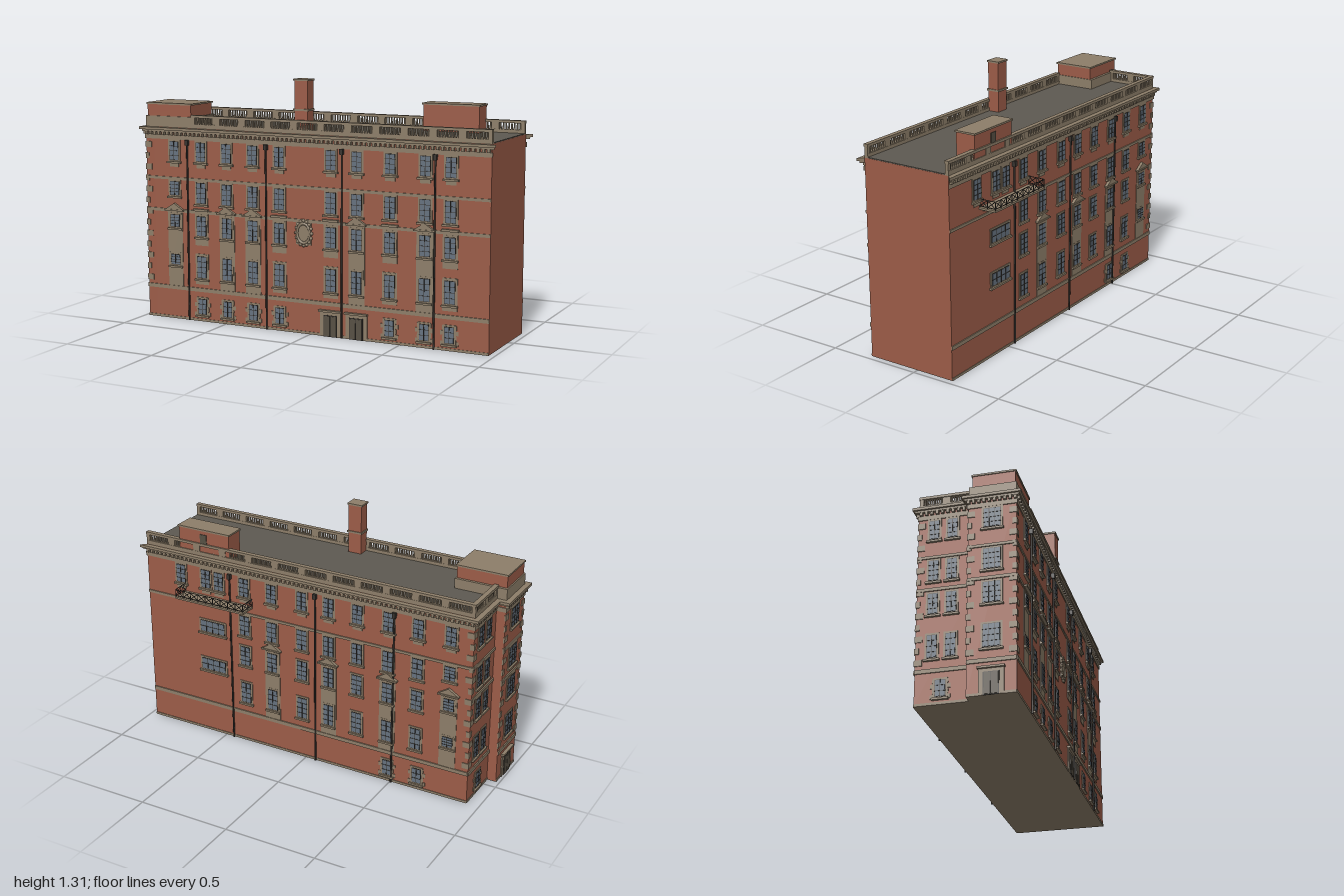
import * as THREE from 'three';

const mat = (name, color) => {
  const m = new THREE.MeshStandardMaterial({ color });
  m.name = name;
  return m;
};
const brick = mat('brick', 0x9c5c48), stone = mat('stone', 0x8d7e69), slate = mat('roof grey', 0x5d5951),
  glass = mat('window glass', 0x66727f), iron = mat('dark iron', 0x37332f), wood = mat('door brown', 0x575044);

const add = (parent, name, geo, m, x, y, z) => {
  const mesh = new THREE.Mesh(geo, m);
  mesh.name = name;
  mesh.position.set(x, y, z);
  parent.add(mesh);
  return mesh;
};
// Box given by its two extreme corners
const span = (p, name, m, x0, x1, y0, y1, z0, z1) =>
  add(p, name, new THREE.BoxGeometry(x1 - x0, y1 - y0, z1 - z0), m, (x0 + x1) / 2, (y0 + y1) / 2, (z0 + z1) / 2);
const group = (parent, name) => {
  const g = new THREE.Group();
  g.name = name;
  parent.add(g);
  return g;
};
// Wall frame: local x runs along the wall, local z points outwards
const wall = (parent, name, x, z, angle) => {
  const g = group(parent, name);
  g.position.set(x, 0, z);
  g.rotation.y = angle;
  return g;
};

// Sash window with stone frame, glass, bars and sill
function windowUnit(w, x, y0, y1, width, cols = 2, rows = 4) {
  const g = group(w, 'window'), h = width / 2, b = 0.009;
  span(g, 'frame', stone, x - h - b, x + h + b, y0 - b, y1 + b, 0, 0.004);
  span(g, 'sash', iron, x - h, x + h, y0, y1, 0, 0.0055);
  span(g, 'pane', glass, x - h + 0.003, x + h - 0.003, y0 + 0.003, y1 - 0.003, 0, 0.007);
  for (let i = 1; i < cols; i++) {
    const u = x - h + width * i / cols;
    span(g, 'bar', iron, u - 0.0015, u + 0.0015, y0, y1, 0.006, 0.009);
  }
  for (let i = 1; i < rows; i++) {
    const v = y0 + (y1 - y0) * i / rows;
    span(g, 'bar', iron, x - h, x + h, v - 0.001, v + 0.001, 0.006, 0.009);
  }
  span(g, 'sill', stone, x - h - 0.014, x + h + 0.014, y0 - 0.016, y0 - 0.006, 0, 0.013);
  return g;
}

function pediment(w, x, y, width) {
  const s = new THREE.Shape();
  s.moveTo(-width / 2, 0);
  s.lineTo(width / 2, 0);
  s.lineTo(0, 0.033);
  add(w, 'pediment', new THREE.ExtrudeGeometry(s, { depth: 0.016, bevelEnabled: false }), stone, x, y, 0);
  span(w, 'pedimentShelf', stone, x - width / 2 - 0.004, x + width / 2 + 0.004, y - 0.008, y, 0, 0.02);
}

// Four storeys above the ground floor; tall columns get one continuous stone surround
function column(w, x, tall, small) {
  const gw = 0.058;
  if (tall) {
    span(w, 'surround', stone, x - 0.045, x + 0.045, 0.18, 0.6, 0, 0.003);
    pediment(w, x, 0.595, 0.105);
  } else {
    span(w, 'hood', stone, x - 0.044, x + 0.044, 0.594, 0.606, 0, 0.014);
    span(w, 'upperPanel', stone, x - 0.04, x + 0.04, 0.41, 0.594, 0, 0.003);
    span(w, 'lowerPanel', stone, x - 0.04, x + 0.04, 0.2, 0.365, 0, 0.003);
  }
  windowUnit(w, x, small ? 0.295 : 0.235, 0.352, gw);
  windowUnit(w, x, small ? 0.5 : 0.46, 0.567, gw);
  windowUnit(w, x, small ? 0.67 : 0.635, 0.745, gw);
  topWindow(w, x);
}
function topWindow(w, x) {
  span(w, 'apron', stone, x - 0.027, x + 0.027, 0.822, 0.85, 0, 0.004);
  windowUnit(w, x, 0.857, 0.958, 0.056);
}
function groundWindow(w, x) {
  for (let i = 0; i < 4; i++) {
    const h = i % 2 ? 0.038 : 0.048;
    span(w, 'quoinBlock', stone, x - h, x + h, 0.028 + i * 0.026, 0.049 + i * 0.026, 0, 0.003);
  }
  windowUnit(w, x, 0.038, 0.122, 0.052, 2, 3);
}
function door(w, x) {
  span(w, 'doorSurround', stone, x - 0.06, x + 0.06, 0, 0.13, 0, 0.006);
  span(w, 'doorHood', stone, x - 0.064, x + 0.064, 0.128, 0.138, 0, 0.018);
  span(w, 'doorOutline', iron, x - 0.038, x + 0.038, 0, 0.112, 0, 0.008);
  for (const s of [-1, 1]) span(w, 'doorLeaf', wood, x + s * 0.018 - 0.016, x + s * 0.018 + 0.016, 0.003, 0.108, 0, 0.011);
}
function drainpipe(w, x) {
  add(w, 'drainpipe', new THREE.CylinderGeometry(0.005, 0.005, 0.965, 8), iron, x, 0.4825, 0.008);
  span(w, 'hopper', iron, x - 0.009, x + 0.009, 0.94, 0.968, 0, 0.018);
}
// Horizontal courses along a wall
function bands(w, x0, x1, middle) {
  span(w, 'plinth', stone, x0, x1, 0, 0.013, 0, 0.003);
  span(w, 'lowerBand', stone, x0, x1, 0.16, 0.18, 0, 0.006);
  if (middle) span(w, 'middleBand', stone, x0, x1, 0.58, 0.596, 0, 0.006);
  span(w, 'upperBand', stone, x0, x1, 0.753, 0.767, 0, 0.006);
}
// Small blocks beneath the cornice
function dentils(w, x0, x1) {
  const n = Math.round((x1 - x0) / 0.026);
  for (let i = 0; i < n; i++) {
    const u = x0 + (i + 0.5) * (x1 - x0) / n;
    span(w, 'dentil', stone, u - 0.007, u + 0.007, 0.99, 1.008, 0, 0.016);
  }
}
// Balustrade with piers, set back into the wall
function balustrade(w, x0, x1) {
  const g = group(w, 'balustrade'), n = Math.round((x1 - x0) / 0.155), p = (x1 - x0) / n;
  span(g, 'parapetBase', stone, x0, x1, 1.03, 1.053, -0.02, 0);
  span(g, 'handrail', stone, x0, x1, 1.086, 1.1, -0.022, 0.003);
  const baluster = new THREE.CylinderGeometry(0.0035, 0.0055, 0.034, 6);
  for (let i = 0; i <= n; i++) {
    const u = x0 + i * p;
    span(g, 'pier', stone, Math.max(x0, u - 0.02), Math.min(x1, u + 0.02), 1.05, 1.09, -0.019, -0.001);
    if (i < n) for (let k = 0; k < 8; k++) add(g, 'baluster', baluster, stone, u + 0.02 + (k + 0.5) * (p - 0.04) / 8, 1.069, -0.01);
  }
}
function quoins(w, x, side) {
  for (let i = 0; i < 13; i++) {
    const y = 0.2 + i * 0.06, len = i % 2 ? 0.022 : 0.038;
    span(w, 'quoin', stone, Math.min(x, x + side * len), Math.max(x, x + side * len), y, y + 0.03, -0.004, 0.004);
  }
}
// Stepped cornice slab following the plan, mitred past the plain end wall
function corniceSlab(p, d, y0, y1) {
  const s = new THREE.Shape([[0.968, -0.21], [0.968, 0.285], [0.97 + d, 0.285 + d], [-0.98 - d, 0.285 + d],
    [-0.98 - d, 0.05 - d], [-0.93 - d, 0.05 - d], [-0.93 - d, -0.21 - d], [0.97 + d, -0.21 - d]]
    .map(([x, z]) => new THREE.Vector2(x, z)));
  const geo = new THREE.ExtrudeGeometry(s, { depth: y1 - y0, bevelEnabled: false }).rotateX(Math.PI / 2);
  add(p, 'cornice', geo, stone, 0, y1, 0);
}

export function createModel() {
  const model = new THREE.Group();
  model.name = 'apartmentBuilding';

  // Main volumes and roof
  span(model, 'mainBody', brick, -0.93, 0.97, 0.002, 1.031, -0.21, 0.285);
  span(model, 'endBay', brick, -0.98, -0.9, 0.002, 1.029, 0.05, 0.2849);
  span(model, 'underside', stone, -0.93, 0.97, 0, 0.002, -0.21, 0.285);
  span(model, 'bayUnderside', stone, -0.98, -0.93, 0, 0.002, 0.05, 0.285);
  span(model, 'roof', slate, -0.92, 0.969, 1.025, 1.036, -0.2, 0.275);
  corniceSlab(model, 0.005, 0.967, 0.99);
  corniceSlab(model, 0.017, 1.006, 1.016);
  corniceSlab(model, 0.027, 1.016, 1.03);

  // Front wall
  const front = wall(model, 'frontWall', 0, 0.285, 0);
  bands(front, -0.98, 0.97, true);
  const tallFront = [-0.805, -0.487, -0.332, 0.262, 0.631];
  for (const x of [-0.805, -0.642, -0.487, -0.332, -0.176, 0.118, 0.262, 0.444, 0.631, 0.765])
    column(front, x, tallFront.includes(x), x === -0.805);
  for (const x of [-0.642, -0.487, -0.332, -0.176, 0.444, 0.631, 0.765]) groundWindow(front, x);
  for (const x of [0.118, 0.262]) door(front, x);
  for (const x of [-0.722, -0.251, 0.182, 0.684]) drainpipe(front, x);
  quoins(front, -0.984, 1);
  dentils(front, -0.985, 0.97);
  balustrade(front, -0.7, 0.97);

  // Carved oval panel
  const cart = group(front, 'carvedPanel');
  cart.position.set(-0.035, 0.525, 0);
  span(cart, 'backPlate', stone, -0.042, 0.042, -0.06, 0.06, 0, 0.006);
  const oval = add(cart, 'ovalRing', new THREE.TorusGeometry(0.036, 0.006, 6, 24), stone, 0, 0, 0.007);
  oval.scale.y = 1.4;
  for (let i = 0; i < 16; i++) {
    const a = i * Math.PI / 8;
    add(cart, 'leaf', new THREE.SphereGeometry(0.009, 8, 6), stone, 0.045 * Math.cos(a), 0.064 * Math.sin(a), 0.004);
  }

  // Back wall (local x is reversed)
  const back = wall(model, 'backWall', 0, -0.21, Math.PI);
  bands(back, -0.97, 0.93, false);
  const tallBack = [0.2, -0.136, -0.474, -0.813];
  for (const x of tallBack) column(back, -x, true, x === -0.813);
  for (const x of [0.365, 0.02, -0.3, -0.637]) {
    windowUnit(back, -x, 0.235, 0.352, 0.058);
    windowUnit(back, -x, 0.46, 0.567, 0.058);
    windowUnit(back, -x, 0.635, 0.745, 0.058);
    topWindow(back, -x);
  }
  for (const x of [0.755, 0.6, 0.52]) topWindow(back, -x);
  for (const y of [0.375, 0.6]) windowUnit(back, -0.567, y, y + 0.065, 0.15, 4, 2);
  for (const x of [-0.48, -0.65]) groundWindow(back, -x);
  for (const x of [0.45, -0.06, -0.507]) drainpipe(back, -x);
  quoins(back, 0.934, -1);
  dentils(back, -0.97, 0.935);
  balustrade(back, -0.97, 0.93);

  // Rear balcony with crossed railing
  const balcony = group(back, 'balcony'), bx0 = -0.735, bx1 = -0.315, depth = 0.095;
  span(balcony, 'deck', stone, bx0, bx1, 0.8, 0.81, 0, depth);
  const rod = (a, b) => add(balcony, 'railing', new THREE.TubeGeometry(
    new THREE.LineCurve3(new THREE.Vector3(...a), new THREE.Vector3(...b)), 1, 0.002, 5), iron, 0, 0, 0);
  const rail = (a, b, n) => {
    const at = (t, y) => [a[0] + (b[0] - a[0]) * t, y, a[1] + (b[1] - a[1]) * t];
    for (const y of [0.818, 0.853]) rod(at(0, y), at(1, y));
    for (let i = 0; i <= n; i++) {
      rod(at(i / n, 0.81), at(i / n, 0.853));
      if (i < n) {
        rod(at(i / n, 0.818), at((i + 1) / n, 0.853));
        rod(at(i / n, 0.853), at((i + 1) / n, 0.818));
      }
    }
  };
  rail([bx0 + 0.003, depth - 0.003], [bx1 - 0.003, depth - 0.003], 9);
  for (const x of [bx0 + 0.003, bx1 - 0.003]) rail([x, 0.002], [x, depth - 0.003], 2);
  const bracket = new THREE.Shape([[0, 0], [0.09, 0], [0.07, -0.008], [0, -0.016]].map((p) => new THREE.Vector2(...p)));
  for (let i = 0; i < 4; i++)
    add(balcony, 'bracket', new THREE.ExtrudeGeometry(bracket, { depth: 0.012, bevelEnabled: false })
      .rotateY(-Math.PI / 2), stone, bx0 + 0.04 + i * 0.117, 0.8, 0);

  // Stepped end wall: rear part, then projecting bay (local x is world z)
  const endRear = wall(model, 'endWallRear', -0.93, 0, -Math.PI / 2);
  bands(endRear, -0.21, 0.05, true);
  dentils(endRear, -0.21, 0.03);
  balustrade(endRear, -0.21, 0.06);
  quoins(endRear, -0.214, 1);
  const endBay = wall(model, 'endWallBay', -0.98, 0, -Math.PI / 2);
  bands(endBay, 0.05, 0.285, true);
  dentils(endBay, 0.04, 0.295);
  quoins(endBay, 0.289, -1);
  quoins(endBay, 0.046, 1);
  for (const [y0, y1] of [[0.235, 0.352], [0.46, 0.567], [0.635, 0.742], [0.857, 0.958]]) {
    for (const z of [-0.13, -0.04]) windowUnit(endRear, z, y0, y1, 0.05);
    windowUnit(endBay, 0.168, y0, y1, 0.085, 3);
  }
  groundWindow(endRear, -0.085);
  door(endBay, 0.168);

  // Corner roof house on a stone base
  const box = (name, x0, x1, y0, y1, z0, z1) => {
    const g = group(model, name);
    span(g, 'walls', brick, x0, x1, y0, y1, z0, z1);
    span(g, 'cap', stone, x0 - 0.005, x1 + 0.005, y1, y1 + 0.009, z0 - 0.005, z1 + 0.005);
    return g;
  };
  span(model, 'cornerParapet', stone, -0.98, -0.7, 1.03, 1.088, 0.052, 0.285);
  box('cornerRoofHouse', -0.973, -0.705, 1.088, 1.149, 0.067, 0.278);
  const rear = box('rearRoofHouse', 0.455, 0.76, 1.03, 1.17, -0.205, -0.1);
  span(rear, 'hatch', wood, 0.59, 0.63, 1.1, 1.15, -0.209, -0.2);

  // Chimney
  const chimney = box('chimney', -0.095, -0.02, 1.03, 1.298, 0.207, 0.27);
  span(chimney, 'chimneyBand', stone, -0.1, -0.015, 1.146, 1.156, 0.202, 0.275);
  return model;
}
